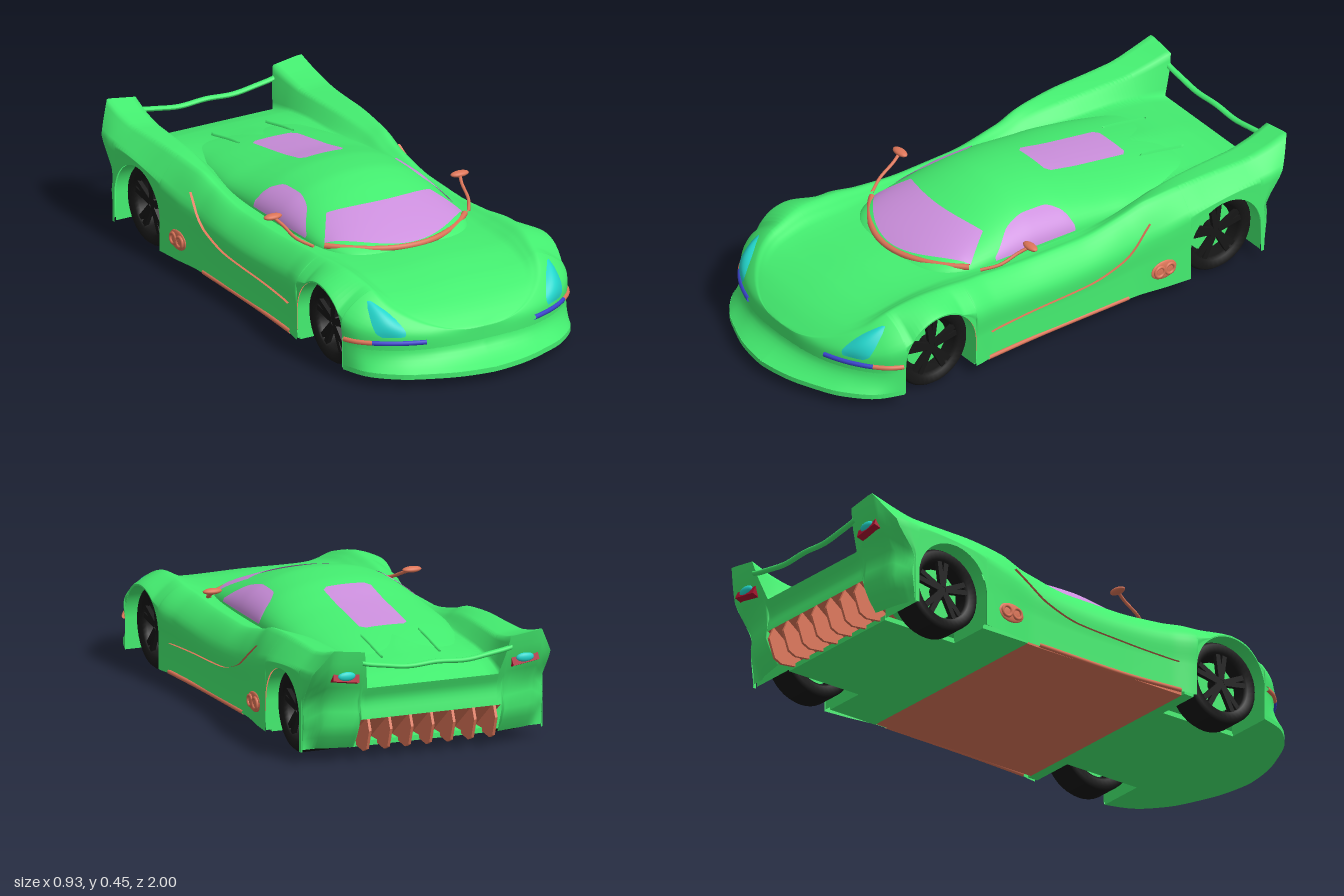
import * as THREE from 'three';

const mat = (color) => new THREE.MeshStandardMaterial({ color, side: THREE.DoubleSide });
const GREEN = mat(0x44ee70), GLASS = mat(0xcc8fdd), ORANGE = mat(0xdd7558), CYAN = mat(0x22d6cc);
const BLUE = mat(0x3a44cc), RED = mat(0xb01030), BLACK = mat(0x161616);
const V = (x, y, z) => new THREE.Vector3(x, y, z);
const lerp = THREE.MathUtils.lerp, clamp = THREE.MathUtils.clamp;

// Smooth monotone curve through flat (position, value) pairs
function track(...flat) {
  const p = [];
  for (let i = 0; i < flat.length; i += 2) p.push([flat[i], flat[i + 1]]);
  p.sort((a, b) => a[0] - b[0]);
  const n = p.length, d = [], m = [];
  for (let i = 0; i < n - 1; i++) d.push((p[i + 1][1] - p[i][1]) / (p[i + 1][0] - p[i][0]));
  for (let i = 0; i < n; i++) {
    const a = d[Math.max(0, i - 1)], b = d[Math.min(n - 2, i)];
    m.push(a * b > 0 ? (2 * a * b) / (a + b) : 0);
  }
  return (z) => {
    if (z <= p[0][0]) return p[0][1];
    if (z >= p[n - 1][0]) return p[n - 1][1];
    let i = 0;
    while (z > p[i + 1][0]) i++;
    const h = p[i + 1][0] - p[i][0], t = (z - p[i][0]) / h, s = 1 - t;
    return (1 + 2 * t) * s * s * p[i][1] + t * s * s * h * m[i]
      + t * t * (3 - 2 * t) * p[i + 1][1] - t * t * s * h * m[i + 1];
  };
}

// Surface through equal-length rows of points
function grid(rows) {
  const n = rows[0].length, index = [];
  for (let i = 0; i < rows.length - 1; i++) for (let j = 0; j < n - 1; j++) {
    const a = i * n + j, b = a + n;
    index.push(a, b, a + 1, b, b + 1, a + 1);
  }
  const g = new THREE.BufferGeometry().setFromPoints(rows.flat());
  g.setIndex(index);
  g.computeVertexNormals();
  return g;
}
const surface = (nu, nv, fn) => grid(Array.from({ length: nu + 1 }, (_, i) =>
  Array.from({ length: nv + 1 }, (_, j) => fn(i / nu, j / nv))));

// Body profile along the length
const NOSE = 0.915, AXLES = [0.555, -0.685], WHEEL_Y = 0.15, ARCH = 0.152;
const sideX = track(0.915, 0, 0.912, 0.08, 0.905, 0.14, 0.89, 0.21, 0.85, 0.31, 0.8, 0.385, 0.75, 0.432, 0.7, 0.453,
  0.6, 0.46, 0.4, 0.457, 0.3, 0.44, 0.1, 0.432, -0.3, 0.432, -0.45, 0.45, -0.6, 0.46, -0.9, 0.46, -1, 0.455);
const shoulderY = track(0.915, 0.15, 0.9, 0.165, 0.85, 0.185, 0.8, 0.2, 0.7, 0.235, 0.55, 0.285, 0.4, 0.265,
  0.2, 0.24, 0, 0.23, -0.2, 0.24, -0.4, 0.27, -0.6, 0.31, -0.8, 0.33, -1, 0.335);
const crestX = track(0.915, 0.8, 0.8, 0.78, 0.7, 0.75, 0.55, 0.79, 0, 0.84, -0.3, 0.85, -0.6, 0.84, -1, 0.87);
const crestY = track(0.915, 0.175, 0.9, 0.187, 0.85, 0.22, 0.8, 0.253, 0.7, 0.313, 0.55, 0.345, 0.45, 0.34, 0.3, 0.325,
  0.1, 0.312, -0.1, 0.312, -0.3, 0.345, -0.4, 0.375, -0.6, 0.39, -0.8, 0.392, -0.9, 0.407, -1, 0.435);
const valleyX = track(0.915, 0.6, 0.45, 0.6, 0.2, 0.7, -0.2, 0.7, -0.6, 0.56, -1, 0.55);
const valleyY = track(0.915, 0.177, 0.9, 0.188, 0.85, 0.222, 0.8, 0.25, 0.7, 0.287, 0.55, 0.311, 0.45, 0.313,
  0, 0.305, -0.3, 0.312, -0.5, 0.325, -0.7, 0.32, -1, 0.275);
const centreY = track(0.915, 0.179, 0.9, 0.19, 0.85, 0.225, 0.8, 0.251, 0.7, 0.286, 0.55, 0.312, 0.45, 0.316,
  0, 0.316, -0.3, 0.33, -0.55, 0.362, -0.75, 0.33, -1, 0.275);
const ridge = track(0, 0.5, -0.3, 0.5, -0.6, 0.62, -1, 0.8);
const ridgeDrop = track(0, 0.5, -0.3, 0.4, -0.6, 0.2, -1, 0.1);
const crease = track(-0.25, 0, -0.6, 0.85, -1, 1);
const lean = track(0.04, -0.88, 0.15, -0.94, 0.22, -0.93, 0.275, -0.95, 0.37, -0.985, 0.435, -1);
// Tail is chamfered at the corners and tucked in low on the outside
const tailZ = (x, y) => Math.min(-0.852, lean(y) + Math.max(0, Math.abs(x) - 0.39) * 0.6
  + Math.max(0, Math.abs(x) - 0.27) * 0.2 * clamp((0.32 - y) / 0.1, 0, 1));

function sillY(z) {
  for (const a of AXLES) if (Math.abs(z - a) < ARCH) return WHEEL_Y + Math.sqrt(ARCH ** 2 - (z - a) ** 2);
  return 0.04;
}
function section(z) {
  const w = sideX(z), yb = sillY(z), cy = Math.max(shoulderY(z), yb + 0.006);
  const dx = w * crestX(z), dy = crestY(z), ex = w * valleyX(z), ey = valleyY(z);
  const half = [[w, lerp(yb, cy, 0.5)], [w, cy], [dx, dy],
    [lerp(dx, ex, ridge(z)), lerp(dy, ey, ridgeDrop(z))], [ex, ey]].map(([x, y]) => V(x, y, z));
  const mirror = half.map((p) => V(-p.x, p.y, z)).reverse();
  const knots = [...half, V(0, centreY(z), z), ...mirror];
  const top = new THREE.CatmullRomCurve3(knots).getPoints(60);
  // Facets sharpen towards the tail
  top.forEach((p, i) => {
    const k = Math.min(9, Math.floor(i / 6));
    p.lerp(knots[k].clone().lerp(knots[k + 1], i / 6 - k), crease(z));
  });
  const pts = [V(w, yb, z), ...top, V(-w, yb, z)];
  // Tail leans with height
  if (z < -0.85) for (const p of pts) p.z = -0.85 - ((z + 0.85) / 0.15) * (tailZ(p.x, p.y) + 0.85);
  return pts;
}
function flankX(y, z) {
  const p = section(z);
  let i = 0;
  while (i < 20 && p[i + 1].y < y) i++;
  return lerp(p[i].x, p[i + 1].x, clamp((y - p[i].y) / (p[i + 1].y - p[i].y || 1), 0, 1));
}
// Position along the nose where the flank has a given half width
function noseZ(x, y) {
  let a = 0.6, b = NOSE;
  for (let i = 0; i < 18; i++) {
    const m = (a + b) / 2;
    if (crestY(m) > y && flankX(y, m) > x) a = m; else b = m;
  }
  return a;
}

// Cabin canopy
const cabinW = track(0.47, 0, 0.45, 0.14, 0.4, 0.235, 0.35, 0.272, 0.3, 0.29, 0.2, 0.3, 0, 0.305,
  -0.2, 0.309, -0.35, 0.308, -0.5, 0.285, -0.65, 0.25, -0.8, 0.24);
const cabinY = track(0.47, 0.3, 0.43, 0.325, 0.35, 0.362, 0.25, 0.4, 0.2, 0.416, 0.1, 0.443, 0.02, 0.455, -0.1, 0.45,
  -0.2, 0.432, -0.3, 0.41, -0.4, 0.393, -0.55, 0.368, -0.7, 0.335, -0.8, 0.3);
const BASE = 0.3, N = 2.1;
const bulge = (t) => Math.pow(Math.max(0, 1 - Math.pow(Math.min(1, Math.abs(t)), N)), 1 / N);
const roofY = (x, z) => BASE + (cabinY(z) - BASE) * bulge(x / Math.max(cabinW(z), 0.001));
const cabinX = (y, z) => cabinW(z) * bulge((y - BASE) / (cabinY(z) - BASE));

export function createModel() {
  const car = new THREE.Group();
  const add = (name, geo, material, parent = car) => {
    const m = new THREE.Mesh(geo, material);
    m.name = name;
    parent.add(m);
    return m;
  };
  const tube = (pts, r, n = 32) => new THREE.TubeGeometry(new THREE.CatmullRomCurve3(pts), n, r, 8);

  // Body shell: denser stations at nose and wheel arches
  const zs = [];
  for (let k = 0; k <= 14; k++) zs.push(NOSE - 0.115 * (k / 14) ** 2);
  for (let z = 0.785; z > -1; z -= 0.015) zs.push(z);
  for (const a of AXLES) for (let k = 0; k <= 24; k++) zs.push(a + ARCH * Math.cos((k / 24) * Math.PI));
  for (const a of AXLES) zs.push(a + ARCH - 0.0004, a - ARCH + 0.0004);
  zs.push(-1);
  zs.sort((a, b) => b - a);
  add('bodyShell', grid(zs.map(section)), GREEN);

  // Rear panel closes the tail
  const last = section(-1);
  add('rearPanel', grid(Array.from({ length: 9 }, (_, i) => last.map((p) => {
    const y = lerp(p.y, Math.min(p.y, Math.abs(p.x) < 0.27 ? 0.16 : 0.05), i / 8);
    return V(p.x, y, tailZ(p.x, y));
  }))), GREEN);

  // Canopy and glass
  add('canopy', surface(70, 32, (u, v) => {
    const z = 0.47 - 1.27 * Math.pow(u, 1.3), a = v * Math.PI;
    const x = cabinW(z) * Math.cos(a);
    return V(x, roofY(x, z), z);
  }), GREEN);
  add('windscreen', surface(16, 32, (r, s) => {
    const u = 2 * s - 1, x = lerp(0.28, 0.21, r) * u;
    const z = lerp(0.435 - 0.14 * u * u, 0.23 - 0.04 * u * u, r);
    return V(x, Math.max(roofY(x, z), 0.318) + 0.004, z);
  }), GLASS);
  const cowl = [];
  for (let u = -1; u <= 1.01; u += 0.125) cowl.push(V(0.285 * u, 0.32 + 0.004 * u * u, 0.45 - 0.145 * u * u));
  add('cowlTrim', tube(cowl, 0.011, 48), ORANGE);
  add('rearWindow', surface(20, 10, (r, s) => {
    const z = lerp(-0.18, -0.53, r), x = (2 * s - 1) * 0.09 * (r < 0.01 || r > 0.99 ? 0.8 : 1);
    return V(x, Math.max(roofY(x, z), centreY(z)) + 0.005, z);
  }), GLASS);
  const windowTop = track(0.2, 0.33, 0.1, 0.395, 0.02, 0.412, -0.06, 0.41, -0.12, 0.385, -0.14, 0.34);
  const lensOuter = track(0.175, 0.36, 0.19, 0.378, 0.22, 0.383, 0.26, 0.378, 0.285, 0.368);
  const lensInner = track(0.175, 0.29, 0.19, 0.284, 0.22, 0.297, 0.25, 0.318, 0.275, 0.345, 0.285, 0.358);

  // Undertray: green ends with wheel notches, orange centre
  const splitX = track(0.7, 0.455, 0.8, 0.42, 0.9, 0.32, 0.95, 0.215, 0.98, 0.13, 0.995, 0.05, 1, 0);
  const plate = (name, half, material) => {
    const pts = [...half, ...half.map(([x, z]) => [-x, z]).reverse()].map(([x, z]) => new THREE.Vector2(x, -z));
    const g = new THREE.ExtrudeGeometry(new THREE.Shape(pts), { depth: 0.018, bevelEnabled: false });
    add(name, g.rotateX(-Math.PI / 2).translate(0, 0.037, 0), material);
  };
  const lip = Array.from({ length: 25 }, (_, k) => 0.71 + 0.289 * Math.sin((k / 24) * Math.PI / 2));
  plate('frontSplitter', [[0.44, 0.36], [0.44, 0.4], [0.27, 0.4], [0.27, 0.71], ...lip.map((z) => [splitX(z), z])], GREEN);
  plate('centreFloor', [[0.425, -0.33], [0.425, 0.36]], ORANGE);
  plate('rearFloor', [[0.27, -0.84], [0.27, -0.53], [0.43, -0.53], [0.43, -0.33]], GREEN);

  // Sloped skirt from nose to splitter lip
  add('frontSkirt', surface(6, 60, (r, s) => {
    const u = 2 * s - 1, k = Math.cos(u * Math.PI / 2);
    const zt = lerp(0.71, NOSE, k), zb = lerp(0.71, 1, k), q = r * r;
    return V(Math.sign(u) * lerp(sideX(zt), splitX(zb), q), lerp(0.13, 0.054, r), lerp(zt, zb, q));
  }), GREEN);

  for (const s of [1, -1]) {
    const side = new THREE.Group();
    side.name = s > 0 ? 'leftSide' : 'rightSide';
    car.add(side);
    const put = (name, geo, material) => add(name, geo, material, side);
    put('sideWindow', surface(28, 10, (r, t) => {
      const z = lerp(0.2, -0.14, r), y = lerp(0.318, windowTop(z), t);
      return V(s * (cabinX(y, z) + 0.004), y, z);
    }), GLASS);

    // Teardrop headlight lens following the fender
    put('headlight', surface(20, 10, (r, t) => {
      const y = lerp(0.175, 0.285, r), x = lerp(lensInner(y), lensOuter(y), t);
      const lift = 0.003 + 0.008 * Math.sin(t * Math.PI) * Math.sin(r * Math.PI);
      return V(s * (x + lift * 0.5), y + lift, noseZ(x, y) + lift);
    }), CYAN);

    // Nose trim strips
    const strip = (z0, z1) => tube(Array.from({ length: 9 }, (_, i) => {
      const z = lerp(z0, z1, i / 8);
      return V(s * (sideX(z) + 0.003), 0.155, z + 0.002);
    }), 0.009);
    put('noseStrip', strip(0.8, 0.888), BLUE);
    put('cornerStrip', strip(0.715, 0.8), ORANGE);

    // Sill trim and the ledge sweeping up to the side intake
    put('sillTrim', tube([[0.34, 0.045], [0.1, 0.042], [-0.28, 0.045]].map(([z, y]) => V(s * (flankX(y, z) - 0.002), y, z)), 0.008), ORANGE);
    const ledgeY = track(0.33, 0.15, 0.1, 0.16, -0.1, 0.17, -0.25, 0.21, -0.38, 0.31);
    put('intakeLedge', surface(40, 1, (r, t) => {
      const z = lerp(0.33, -0.38, r), y = ledgeY(z);
      return V(s * (flankX(y, z) + lerp(-0.012, 0.01, t)), y, z);
    }), ORANGE);

    // Side exhaust: oval rim with two outlets
    const ex = s * (flankX(0.12, -0.42) + 0.004);
    put('exhaustPlate', new THREE.SphereGeometry(1, 24, 12).scale(0.008, 0.036, 0.055).translate(ex, 0.12, -0.42), ORANGE);
    for (const o of [-0.022, 0.022]) {
      put('exhaustOutlet', new THREE.TorusGeometry(0.019, 0.006, 8, 20).rotateY(Math.PI / 2).translate(ex + s * 0.006, 0.12, -0.42 + o), ORANGE);
    }

    // Mirror on a curved stalk
    put('mirrorStalk', tube([V(s * 0.315, 0.318, 0.28), V(s * 0.35, 0.335, 0.22), V(s * 0.365, 0.365, 0.15), V(s * 0.38, 0.383, 0.11)], 0.006), ORANGE);
    put('mirrorHead', new THREE.SphereGeometry(1, 20, 12).scale(0.036, 0.011, 0.018).translate(s * 0.38, 0.384, 0.11), ORANGE);

    // Tail light
    put('tailLightFrame', new THREE.BoxGeometry(0.1, 0.055, 0.03).rotateX(0.35).rotateZ(s * 0.15).translate(s * 0.34, 0.335, -0.96), RED);
    put('tailLightLens', new THREE.SphereGeometry(1, 16, 12).scale(0.034, 0.017, 0.012).translate(s * 0.34, 0.333, -0.976), CYAN);

    // Deck rib
    put('deckRib', surface(16, 2, (r, t) => {
      const z = lerp(-0.57, -0.76, r);
      return V(s * (0.11 + (t - 0.5) * 0.005), Math.max(roofY(0.11, z), centreY(z)) + (t === 0.5 ? 0.004 : -0.006), z);
    }), GREEN);

    for (const az of AXLES) {
      // Arch lining with straight legs down to the floor
      put('archLiner', surface(28, 1, (r, t) => {
        const a = clamp(r * 28 - 2, 0, 24) / 24 * Math.PI, leg = r < 0.04 || r > 0.96;
        return V(s * lerp(0.27, sideX(az) - 0.006, t), leg ? 0.045 : WHEEL_Y + ARCH * Math.sin(a), az + ARCH * Math.cos(a));
      }), GREEN);
      // Wheel
      const wheel = new THREE.Group();
      wheel.name = az > 0 ? 'frontWheel' : 'rearWheel';
      wheel.position.set(s * 0.352, WHEEL_Y, az);
      wheel.rotation.y = s > 0 ? 0 : Math.PI;
      side.add(wheel);
      const tyre = [[0.112, -0.055], [0.14, -0.061], [0.15, -0.048], [0.15, 0.048], [0.14, 0.061], [0.112, 0.055], [0.104, 0.04], [0.104, -0.05], [0.112, -0.055]];
      const axial = (g, x) => g.rotateZ(-Math.PI / 2).translate(x, 0, 0);
      add('tyre', axial(new THREE.LatheGeometry(tyre.map(([r, h]) => new THREE.Vector2(r, h)), 40), 0), BLACK, wheel);
      add('brakeDisc', axial(new THREE.CylinderGeometry(0.09, 0.09, 0.014, 28), 0), GREEN, wheel);
      add('hub', axial(new THREE.CylinderGeometry(0.026, 0.03, 0.06, 16), 0.018), BLACK, wheel);
      for (let k = 0; k < 5; k++) for (const o of [-0.14, 0.14]) {
        const g = new THREE.BoxGeometry(0.016, 0.095, 0.019).translate(0.042, 0.06, 0);
        add('spoke', g.rotateX((k / 5) * Math.PI * 2 + o), BLACK, wheel);
      }
    }
  }

  // Wing blade between the tail fins
  add('rearWing', surface(32, 12, (u, v) => {
    const x = lerp(-0.285, 0.285, u), a = v * Math.PI * 2;
    const y = 0.352 + 0.022 * (x / 0.27) ** 4 + 0.003 * Math.cos(x * 30);
    return V(x, y + 0.009 * Math.sin(a), -0.984 + 0.011 * Math.cos(a));
  }), GREEN);

  // Diffuser ramp and vanes
  add('diffuserRamp', surface(1, 1, (u, v) => V(lerp(-0.27, 0.27, u), lerp(0.05, 0.165, v), lerp(-0.78, -0.935, v))), ORANGE);
  const vane = new THREE.Shape([[0.78, 0.05], [0.935, 0.165], [0.955, 0.12], [0.93, 0.05], [0.9, 0.036]].map(([a, b]) => new THREE.Vector2(a, b)));
  for (let i = 0; i < 7; i++) {
    const g = new THREE.ExtrudeGeometry(vane, { depth: 0.01, bevelEnabled: false });
    add('diffuserVane', g.rotateY(Math.PI / 2).translate(-0.245 + i * 0.08, 0, 0), ORANGE);
  }
  return car;
}
